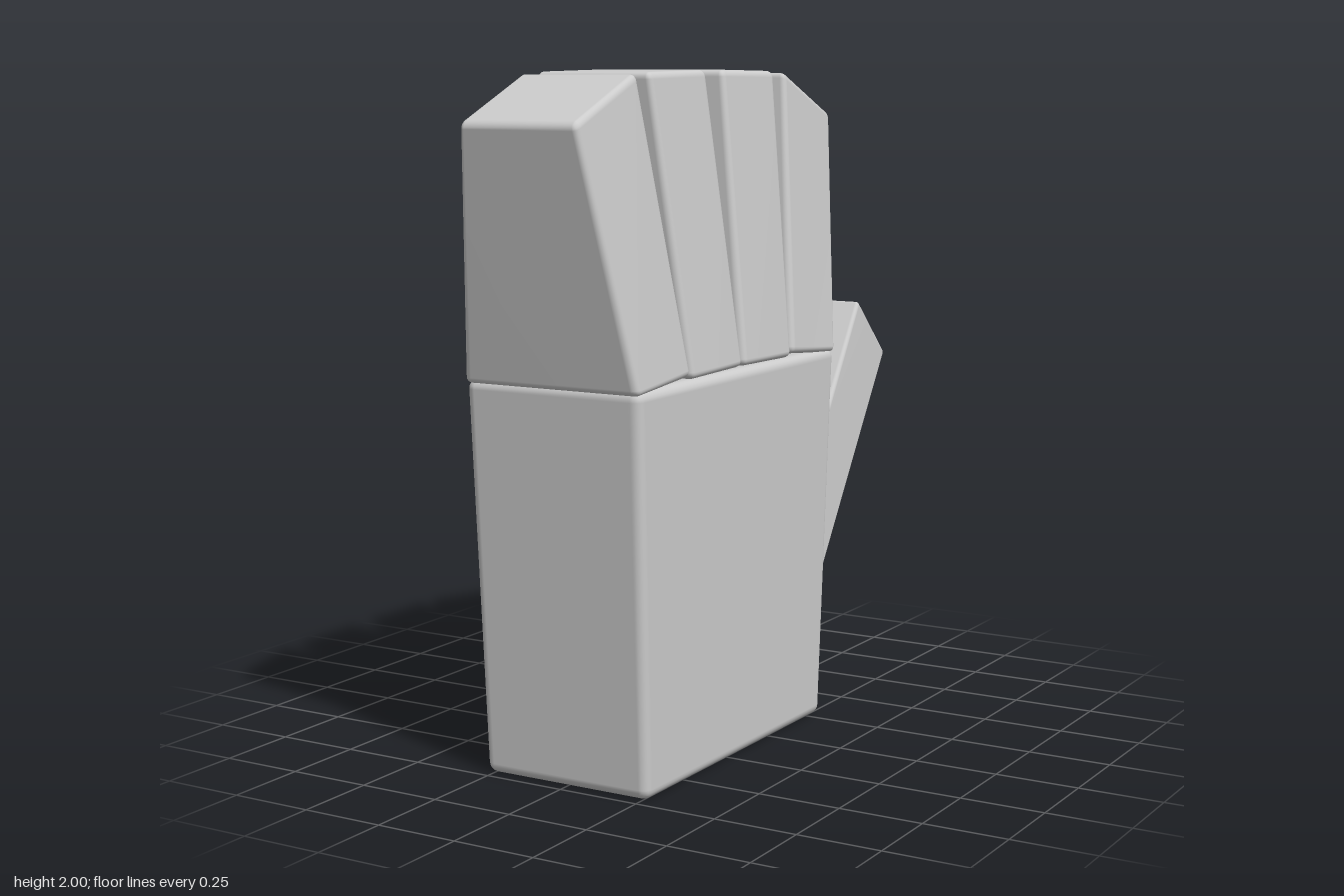
import * as THREE from 'three';
import { RoundedBoxGeometry } from 'three/addons/geometries/RoundedBoxGeometry.js';
import { mergeVertices } from 'three/addons/utils/BufferGeometryUtils.js';

const material = new THREE.MeshStandardMaterial({ color: 0xcccccc });

// Rounded block warped to a side profile of four [z, y] corners:
// base front, base back, tip back, tip front; half width runs from w0 (base) to w1 (tip).
function taperedBlock(name, [bf, bb, tb, tf], w0, w1, radius) {
  const dist = (a, b) => Math.hypot(a[0] - b[0], a[1] - b[1]);
  const W = w0 + w1;
  const H = (dist(bf, tf) + dist(bb, tb)) / 2;
  const D = (dist(bf, bb) + dist(tf, tb)) / 2;
  let geo = new RoundedBoxGeometry(W, H, D, 3, radius);
  const pos = geo.attributes.position;
  for (let i = 0; i < pos.count; i++) {
    const u = pos.getX(i) / (W / 2);
    const v = pos.getY(i) / H + 0.5;
    const t = 0.5 - pos.getZ(i) / D;
    const [z, y] = [0, 1].map((k) => THREE.MathUtils.lerp(
      THREE.MathUtils.lerp(bf[k], bb[k], t),
      THREE.MathUtils.lerp(tf[k], tb[k], t), v));
    pos.setXYZ(i, u * THREE.MathUtils.lerp(w0, w1, v), y, z);
  }
  // Weld so the rounded edges shade smoothly into the flat faces
  geo.deleteAttribute('normal');
  geo.deleteAttribute('uv');
  geo = mergeVertices(geo, 1e-5);
  geo.computeVertexNormals();
  const mesh = new THREE.Mesh(geo, material);
  mesh.name = name;
  return mesh;
}

export function createModel() {
  const hand = new THREE.Group();
  hand.name = 'hand';

  // Palm, widening a little upwards
  hand.add(taperedBlock('palm',
    [[0.725, 0], [-0.31, 0], [-0.365, 1.15], [0.785, 1.15]], 0.272, 0.286, 0.03));

  // Four fanned fingers, mirrored about the middle of the palm
  const middle = 0.21;
  const inner = [[0.29, 1.15], [0.004, 1.155], [0.045, 2], [0.355, 1.995]];
  const outer = [[0.575, 1.135], [0.295, 1.16], [0.415, 1.995], [0.72, 1.862]];
  const mirror = ([a, b, c, d]) => [b, a, d, c].map(([z, y]) => [-z, y]);
  const fingers = {
    littleFinger: outer,
    ringFinger: inner,
    middleFinger: mirror(inner),
    indexFinger: mirror(outer),
  };
  for (const [name, profile] of Object.entries(fingers)) {
    const corners = profile.map(([z, y]) => [z + middle, y]);
    hand.add(taperedBlock(name, corners, 0.287, 0.186, 0.02));
  }

  // Thumb slanting out of the back edge of the palm
  hand.add(taperedBlock('thumb',
    [[-0.128, 0.613], [-0.31, 0.44], [-0.928, 1.07], [-0.73, 1.258]], 0.272, 0.183, 0.014));

  return hand;
}
